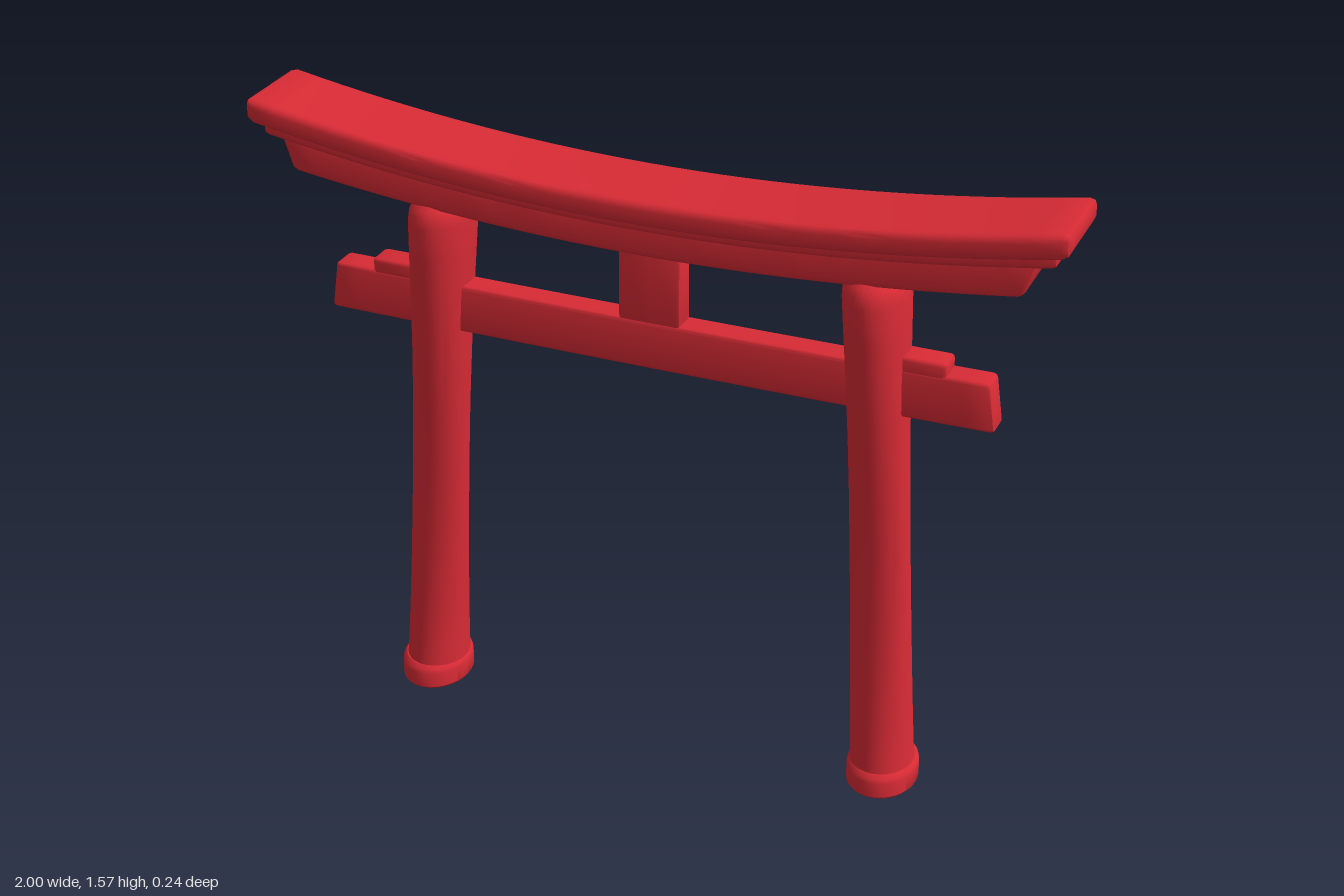
import * as THREE from 'three';
import { toCreasedNormals } from 'three/addons/utils/BufferGeometryUtils.js';

// Skin a row of closed rings (each turning counter-clockwise about the row's direction) and cap both ends.
function loft(rings, crease = 0.6) {
  const n = rings[0].length, pos = [], idx = [];
  rings.forEach(r => r.forEach(p => pos.push(p.x, p.y, p.z)));
  for (let i = 0; i < rings.length - 1; i++) {
    for (let j = 0; j < n; j++) {
      const a = i * n + j, d = i * n + (j + 1) % n;
      idx.push(a, d, d + n, a, d + n, a + n);
    }
  }
  [0, rings.length - 1].forEach((i, end) => {
    const c = pos.length / 3, mid = new THREE.Vector3();
    rings[i].forEach(p => mid.addScaledVector(p, 1 / n));
    pos.push(mid.x, mid.y, mid.z);
    for (let j = 0; j < n; j++) {
      const a = i * n + j, b = i * n + (j + 1) % n;
      if (end) idx.push(c, a, b); else idx.push(c, b, a);
    }
  });
  const g = new THREE.BufferGeometry();
  g.setAttribute('position', new THREE.Float32BufferAttribute(pos, 3));
  g.setIndex(idx);
  return toCreasedNormals(g, crease);
}

// Rounded beam along x. It rises by curve * x^2; slant shifts the ends outward with height.
function beam({ x0, x1, y0, y1, z, r = 0.015, curve = 0, slant = 0, steps = 32 }) {
  const cy = (y0 + y1) / 2, hy = (y1 - y0) / 2, cx = (x0 + x1) / 2, hx = (x1 - x0) / 2;
  const stations = [[-hx, r], [-hx + r * 0.3, r * 0.3]];
  for (let i = 0; i <= steps; i++) stations.push([(-hx + r) + (2 * (hx - r) * i) / steps, 0]);
  stations.push([hx - r * 0.3, r * 0.3], [hx, r]);
  return loft(stations.map(([s, inset]) => {
    const ring = [];
    for (let q = 0; q < 4; q++) {
      const sy = q === 0 || q === 3 ? 1 : -1, sz = q < 2 ? 1 : -1;
      for (let k = 0; k <= 3; k++) {
        const t = (q + k / 3) * Math.PI / 2, rr = Math.max(r - inset, 0.0005);
        const dy = sy * (hy - r) + rr * Math.cos(t);
        const dz = sz * (z - r) + rr * Math.sin(t);
        const x = cx + s + slant * (dy / hy) * (s / hx);
        ring.push(new THREE.Vector3(x, cy + dy + curve * x * x, dz));
      }
    }
    return ring;
  }));
}

// Upright elliptical post from [y, half width in x, half depth in z] rows, leaning inward.
function post(rows, side, lean) {
  return loft(rows.map(([y, rx, rz]) => {
    const ring = [];
    for (let j = 0; j < 40; j++) {
      const t = j / 40 * Math.PI * 2;
      ring.push(new THREE.Vector3(side * (0.612 - lean * y) + rx * Math.sin(t), y, rz * Math.cos(t)));
    }
    return ring;
  }));
}

export function createModel() {
  const group = new THREE.Group();
  const red = new THREE.MeshStandardMaterial({ color: 0xd92b35 });
  red.name = 'red lacquer';
  const add = (name, geometry) => {
    const mesh = new THREE.Mesh(geometry, red);
    mesh.name = name;
    group.add(mesh);
  };

  // Curved lintel in three stepped layers
  add('topLintel', beam({ x0: -1, x1: 1, y0: 1.42, y1: 1.48, z: 0.118, r: 0.018, curve: 0.095 }));
  add('middleLintel', beam({ x0: -0.968, x1: 0.968, y0: 1.395, y1: 1.44, z: 0.09, r: 0.01, curve: 0.09 }));
  add('lowerLintel', beam({ x0: -0.912, x1: 0.912, y0: 1.332, y1: 1.42, z: 0.086, r: 0.012, curve: 0.08, slant: 0.015 }));

  // Tie beam, its slanted ends wider at the bottom, and the short strut above it
  add('tieBeam', beam({ x0: -0.835, x1: 0.835, y0: 1.02, y1: 1.143, z: 0.035, r: 0.01, curve: 0.006, slant: -0.009 }));
  add('centreStrut', beam({ x0: -0.078, x1: 0.078, y0: 1.12, y1: 1.36, z: 0.032, r: 0.008, steps: 2 }));

  // Flared, leaning pillars with foot collars and wedges
  const pillarRows = [
    [0.03, 0.08, 0.095], [0.08, 0.077, 0.09], [0.2, 0.076, 0.076], [0.35, 0.075, 0.066],
    [0.5, 0.074, 0.061], [0.65, 0.073, 0.06], [0.8, 0.072, 0.066], [0.95, 0.072, 0.077],
    [1.1, 0.073, 0.091], [1.22, 0.075, 0.102], [1.31, 0.076, 0.11],
    [1.335, 0.074, 0.106], [1.352, 0.067, 0.097], [1.362, 0.056, 0.085],
  ];
  const footRows = [
    [0, 0.083, 0.102], [0.006, 0.087, 0.107], [0.045, 0.087, 0.107], [0.056, 0.085, 0.103], [0.064, 0.078, 0.093],
  ];
  for (const side of [-1, 1]) {
    const label = side > 0 ? 'left' : 'right';
    add(label + 'Pillar', post(pillarRows, side, 0.052));
    add(label + 'PillarFoot', post(footRows, side, 0));
    add(label + 'Wedge', beam({
      x0: side > 0 ? 0.52 : -0.725, x1: side > 0 ? 0.725 : -0.52,
      y0: 1.12, y1: 1.176, z: 0.034, r: 0.01, steps: 2,
    }));
  }
  return group;
}
